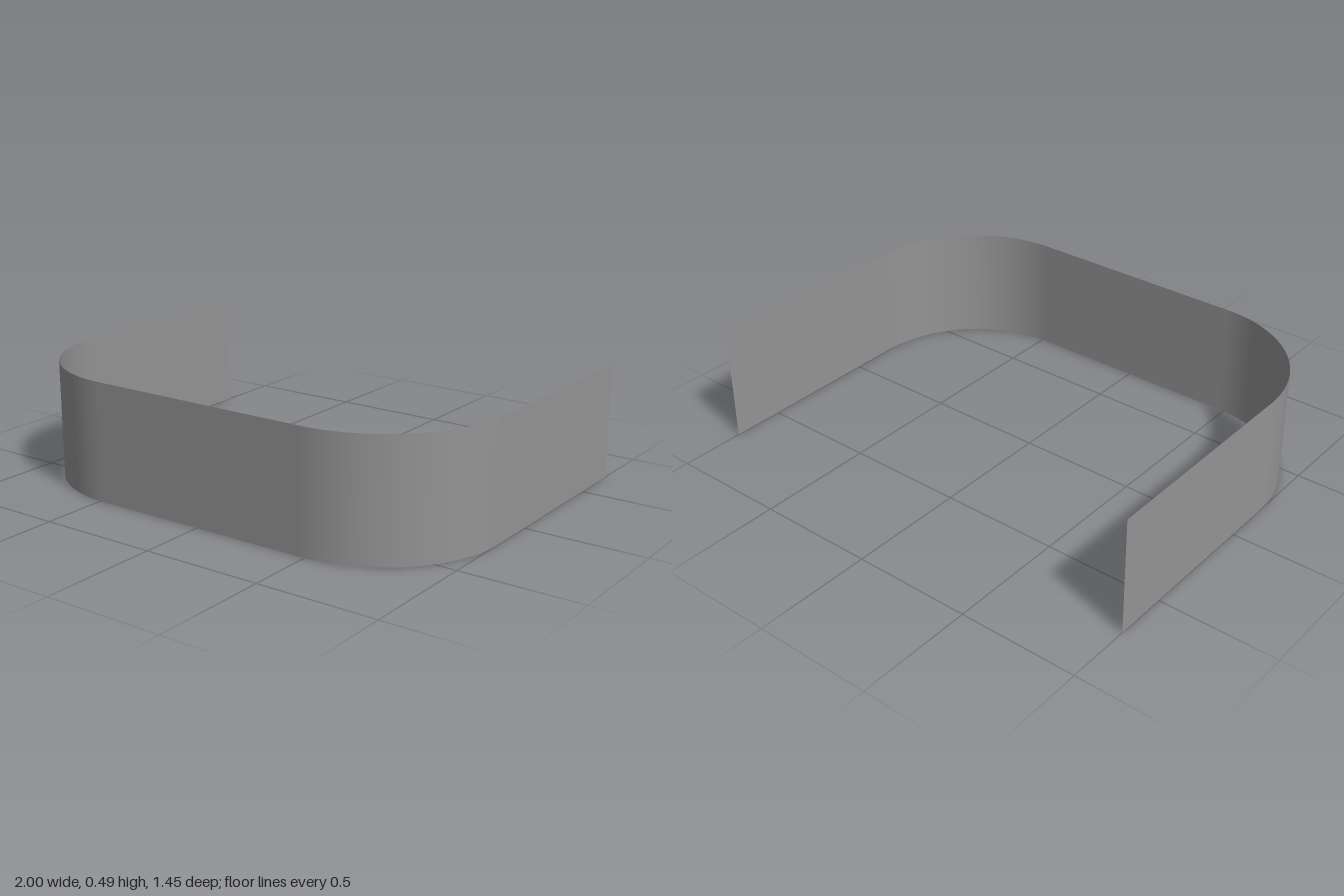
import * as THREE from 'three';

const HALF_W = 1, HALF_D = 0.7225, HEIGHT = 0.493, RADIUS = 0.52, STEPS = 24;

// Plan outline of the U, from the back of the -x leg round the front to the +x leg.
// Each entry is [x, z, normalX, normalZ].
function outline() {
  const pts = [[-HALF_W, -HALF_D, -1, 0]];
  for (const side of [-1, 1]) {
    for (let i = 0; i <= STEPS; i++) {
      const a = (i / STEPS) * Math.PI / 2 + (side < 0 ? 0 : Math.PI / 2);
      const nx = -Math.cos(a), nz = Math.sin(a);
      pts.push([side * (HALF_W - RADIUS) + RADIUS * nx, HALF_D - RADIUS + RADIUS * nz, nx, nz]);
    }
  }
  pts.push([HALF_W, -HALF_D, 1, 0]);
  return pts;
}

export function createModel() {
  const group = new THREE.Group();
  group.name = 'curvedBand';

  // Bend a flat strip along the outline, with exact smooth normals
  const pts = outline();
  const geo = new THREE.PlaneGeometry(1, HEIGHT, pts.length - 1, 1);
  geo.translate(0, HEIGHT / 2, 0);
  const pos = geo.attributes.position, nor = geo.attributes.normal;
  for (let i = 0; i < pos.count; i++) {
    const [x, z, nx, nz] = pts[i % pts.length];
    pos.setXYZ(i, x, pos.getY(i), z);
    nor.setXYZ(i, nx, 0, nz);
  }

  const band = new THREE.Mesh(
    geo,
    new THREE.MeshStandardMaterial({ color: 0x949494, side: THREE.DoubleSide })
  );
  band.name = 'band';
  group.add(band);
  return group;
}
